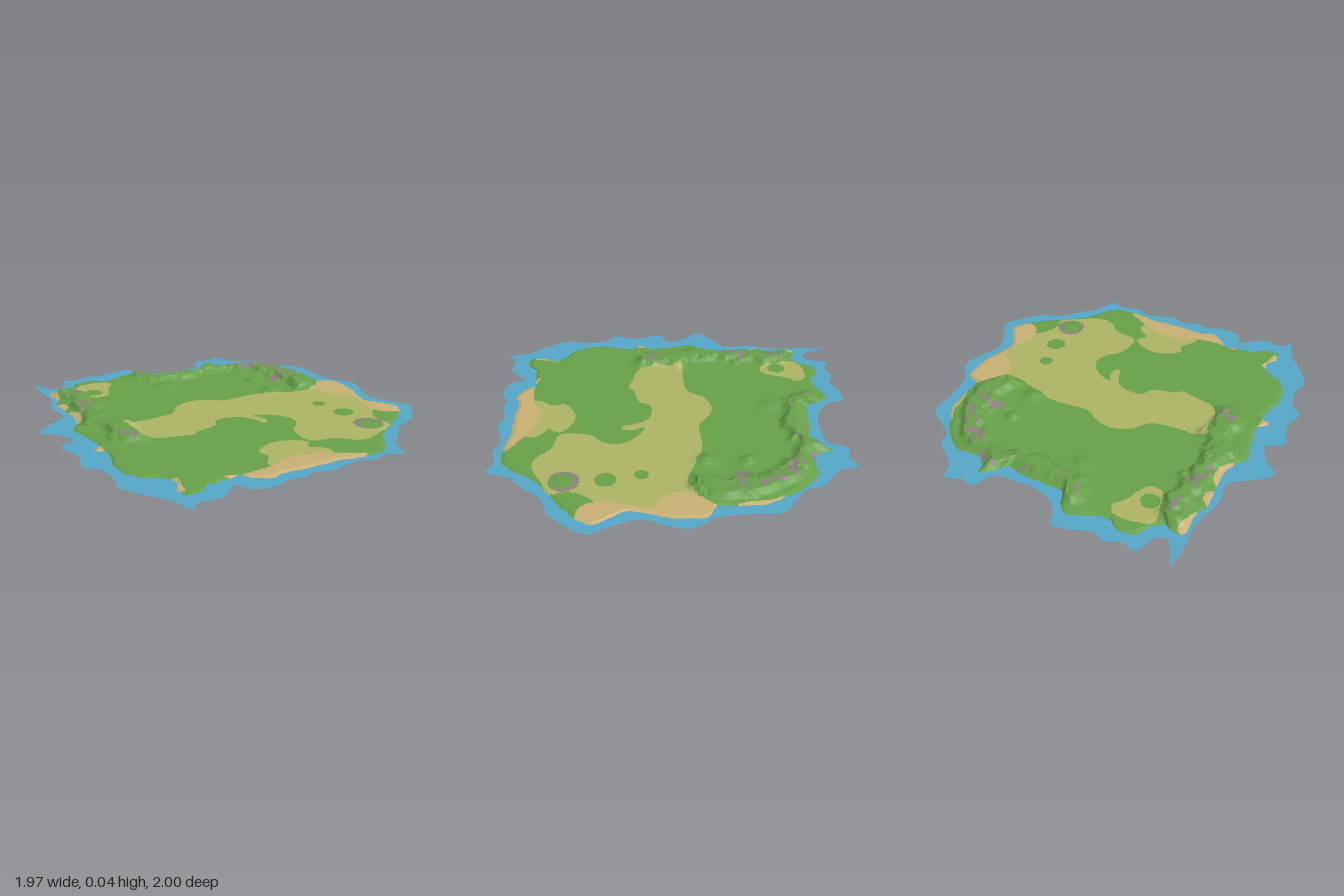
import * as THREE from 'three';

// Outlines are drawn on a survey map centred on (235, 225)
const SCALE = 0.0053, CX = 235, CZ = 225;
const toPoints = (list) => {
  const out = [];
  for (let i = 0; i < list.length; i += 2) out.push(new THREE.Vector2((list[i] - CX) * SCALE, (list[i + 1] - CZ) * SCALE));
  return out;
};
// Closed smooth curve through the points
const smooth = (list, n) => {
  const pts = toPoints(list).map((p) => new THREE.Vector3(p.x, 0, p.y));
  const curve = new THREE.CatmullRomCurve3(pts, true, 'centripetal');
  return curve.getPoints(n).slice(0, n).map((p) => new THREE.Vector2(p.x, p.z));
};

const SHORE = [92, 80, 103, 78, 110, 82, 120, 75, 128, 60, 145, 58, 160, 66, 178, 60, 195, 53, 205, 62, 212, 76, 230, 78,
  255, 78, 275, 82, 285, 70, 296, 62, 298, 73, 315, 82, 330, 80, 345, 88, 358, 102, 370, 120, 378, 135, 380, 150,
  383, 180, 396, 188, 398, 205, 397, 225, 390, 245, 390, 265, 397, 275, 407, 293, 400, 305, 387, 318, 365, 335,
  345, 350, 330, 372, 317, 385, 290, 387, 270, 384, 250, 385, 230, 386, 210, 384, 195, 389, 180, 380, 173, 371,
  155, 373, 138, 375, 130, 383, 115, 384, 111, 372, 118, 358, 110, 345, 95, 335, 85, 320, 82, 300, 87, 280, 88, 264,
  80, 260, 87, 245, 84, 220, 78, 200, 85, 188, 90, 170, 90, 150, 87, 125, 92, 105];
const WATER = [87, 42, 93, 56, 103, 68, 112, 64, 120, 42, 135, 46, 150, 40, 162, 45, 185, 37, 200, 36, 205, 48, 215, 60,
  235, 68, 260, 68, 280, 65, 290, 45, 305, 47, 320, 41, 326, 58, 340, 70, 352, 80, 357, 95, 370, 105, 390, 120,
  392, 150, 397, 180, 412, 203, 408, 225, 400, 245, 403, 262, 410, 275, 420, 295, 412, 310, 395, 330, 370, 342,
  358, 357, 340, 375, 330, 398, 315, 392, 300, 397, 280, 392, 265, 396, 250, 400, 235, 395, 220, 400, 205, 398,
  190, 404, 168, 400, 160, 386, 140, 402, 115, 402, 108, 412, 103, 400, 97, 385, 85, 370, 70, 345, 73, 325,
  68, 300, 57, 290, 62, 265, 55, 235, 70, 225, 62, 205, 48, 190, 65, 172, 82, 158, 80, 130, 87, 95, 85, 70];

// Ground cover outlines
const DRY = [
  [122, 212, 160, 208, 185, 203, 198, 186, 220, 178, 238, 184, 250, 192, 290, 190, 310, 195, 350, 206, 370, 195, 395, 220,
    388, 245, 384, 288, 375, 293, 366, 305, 362, 318, 366, 332, 345, 345, 325, 355, 310, 353, 295, 340, 270, 334, 267, 320,
    272, 300, 282, 290, 286, 275, 280, 262, 265, 251, 256, 249, 261, 260, 260, 270, 255, 272, 250, 258, 240, 245,
    215, 243, 208, 255, 185, 262, 178, 268, 165, 265, 140, 258, 130, 240],
  [205, 364, 215, 346, 212, 335, 235, 321, 255, 325, 266, 335, 260, 346, 272, 355, 273, 368, 240, 375, 210, 372],
  [120, 80, 135, 72, 158, 73, 163, 82, 155, 95, 150, 110, 143, 120, 130, 118, 124, 100],
];
const SAND = [
  [362, 207, 372, 190, 385, 178, 410, 190, 408, 230, 402, 260, 418, 292, 402, 306, 385, 304, 376, 286, 381, 262, 385, 246, 382, 235, 368, 228],
  [158, 368, 182, 371, 210, 367, 230, 358, 265, 365, 285, 376, 298, 384, 290, 394, 190, 396, 170, 380],
  [84, 78, 98, 80, 97, 95, 93, 108, 86, 108], [84, 122, 93, 124, 94, 138, 86, 142], [86, 150, 94, 152, 97, 172, 88, 186],
  [108, 352, 121, 352, 118, 366, 116, 378, 108, 376], [74, 252, 86, 250, 85, 266, 76, 268],
  [366, 116, 374, 118, 384, 150, 380, 160, 375, 148, 373, 130],
].map((l) => smooth(l, 60));
const DRY_AREAS = DRY.map((l) => smooth(l, 160));
// Round spots: x, z, radius
const spots = (list) => list.map(([x, z, r]) => [(x - CX) * SCALE, (z - CZ) * SCALE, r * SCALE]);
const GREEN_SPOTS = spots([[336, 249, 7], [344, 283, 10.5], [135, 102, 9.5], [313, 187, 10], [347, 324, 11]]);
const ROCK_SPOTS = spots([[340, 152, 6], [336, 156, 6], [347, 322, 15]]);
// Mounds: x, z, radius, height
const MOUNDS = [[313, 187, 16, 0.02], [313, 147, 11, 0.022], [215, 118, 15, 0.012], [347, 322, 17, 0.006], [340, 155, 12, 0.01]]
  .map(([x, z, r, h]) => [(x - CX) * SCALE, (z - CZ) * SCALE, r * SCALE, h]);
// Crest lines of the two hill chains
const RIDGES = [
  [203, 78, 215, 86, 238, 94, 265, 90, 290, 80, 315, 92, 334, 105, 346, 125, 355, 150, 360, 168, 350, 192],
  [107, 90, 112, 110, 110, 150, 104, 180, 113, 205, 122, 225, 118, 250],
].map(toPoints);

const inside = (x, z, poly) => {
  let hit = false;
  for (let i = 0, j = poly.length - 1; i < poly.length; j = i++) {
    const a = poly[i], b = poly[j];
    if ((a.y > z) !== (b.y > z) && x < ((b.x - a.x) * (z - a.y)) / (b.y - a.y) + a.x) hit = !hit;
  }
  return hit;
};
const inSpot = (x, z, list) => list.some(([a, b, r]) => Math.hypot(x - a, z - b) < r);

// Repeatable smooth value noise
const hash = (i, j) => {
  const s = Math.sin(i * 127.1 + j * 311.7) * 43758.5453;
  return s - Math.floor(s);
};
const noise = (x, z) => {
  const i = Math.floor(x), j = Math.floor(z);
  const u = THREE.MathUtils.smoothstep(x - i, 0, 1), v = THREE.MathUtils.smoothstep(z - j, 0, 1);
  const lerp = THREE.MathUtils.lerp;
  return lerp(lerp(hash(i, j), hash(i + 1, j), u), lerp(hash(i, j + 1), hash(i + 1, j + 1), u), v);
};
const ridgeNoise = (x, z) => 1 - Math.abs(2 * noise(x, z) - 1);

const ridgeDistance = (x, z) => {
  let best = 9;
  for (const line of RIDGES) {
    for (let i = 0; i + 1 < line.length; i++) {
      const a = line[i], b = line[i + 1], dx = b.x - a.x, dz = b.y - a.y;
      const t = THREE.MathUtils.clamp(((x - a.x) * dx + (z - a.y) * dz) / (dx * dx + dz * dz), 0, 1);
      best = Math.min(best, Math.hypot(x - a.x - t * dx, z - a.y - t * dz));
    }
  }
  return best;
};

// Ground height; t runs from 0 in the middle to 1 at the shore
const height = (x, z, t) => {
  const d = ridgeDistance(x, z) + 0.06 * (noise(x * 17, z * 17) - 0.5);
  const core = 1 - THREE.MathUtils.smoothstep(d, 0.015, 0.1);
  const crags = 0.55 * ridgeNoise(x * 16 + 5, z * 16) + 0.45 * ridgeNoise(x * 36, z * 36 + 9);
  let h = Math.min(0.031, 0.05 * core * (0.15 + crags));
  for (const [a, b, r, top] of MOUNDS) {
    const f = 1 - THREE.MathUtils.smoothstep(Math.hypot(x - a, z - b), 0, r);
    h = Math.max(h, top * f * (0.6 + 0.5 * ridgeNoise(x * 30, z * 30)));
  }
  return 0.007 * (1 - THREE.MathUtils.smoothstep(t, 0.975, 1)) + h * (1 - THREE.MathUtils.smoothstep(t, 0.91, 0.995));
};

// Cover index: 0 grass, 1 dry grass, 2 sand, 3 rock
const cover = (x, z) => {
  const d = ridgeDistance(x, z);
  if (d < 0.045 && noise(x * 9 + 3, z * 9) > 0.5 && noise(x * 34, z * 34) > 0.56) return 3;
  if (inSpot(x, z, GREEN_SPOTS)) return 0;
  if (inSpot(x, z, ROCK_SPOTS)) return z > 0.575 && x > 0.56 && x < 0.64 ? 0 : 3;
  if (SAND.some((p) => inside(x, z, p))) return 2;
  return d > 0.05 && DRY_AREAS.some((p) => inside(x, z, p)) ? 1 : 0;
};

// Land: rings of points shrinking from the shoreline to the middle
function landGeometry(shore, rings) {
  const n = shore.length, positions = [0, height(0, 0, 0), 0], faces = [[], [], [], []];
  for (let r = 1; r <= rings; r++) {
    const t = Math.pow(r / rings, 0.8);
    for (const p of shore) positions.push(p.x * t, height(p.x * t, p.y * t, t), p.y * t);
  }
  const addFace = (a, b, c) => {
    const mid = (k) => (positions[a * 3 + k] + positions[b * 3 + k] + positions[c * 3 + k]) / 3;
    faces[cover(mid(0), mid(2))].push(a, b, c);
  };
  const id = (r, i) => 1 + (r - 1) * n + (i % n);
  for (let i = 0; i < n; i++) {
    addFace(0, id(1, i + 1), id(1, i));
    for (let r = 1; r < rings; r++) {
      addFace(id(r, i), id(r, i + 1), id(r + 1, i));
      addFace(id(r, i + 1), id(r + 1, i + 1), id(r + 1, i));
    }
  }
  const geometry = new THREE.BufferGeometry();
  geometry.setAttribute('position', new THREE.Float32BufferAttribute(positions, 3));
  geometry.setIndex(faces.flat());
  let start = 0;
  faces.forEach((list, k) => {
    geometry.addGroup(start, list.length, k);
    start += list.length;
  });
  geometry.computeVertexNormals();
  return geometry;
}

export function createModel() {
  const material = (name, color) => new THREE.MeshStandardMaterial({ name, color, side: THREE.DoubleSide });
  const ground = [material('grass', 0x66a048), material('dryGrass', 0xaeb465), material('sand', 0xc8b074), material('rock', 0x8c827c)];
  const model = new THREE.Group();
  model.name = 'island';

  // Shoreline with slight raggedness
  const shore = smooth(SHORE, 520).map((p) => p.multiplyScalar(1 + 0.016 * (noise(p.x * 40, p.y * 40) - 0.5)));
  const land = new THREE.Mesh(landGeometry(shore, 110), ground);
  land.name = 'land';

  // Flat shallow water around the land
  const shape = new THREE.Shape(smooth(WATER, 400));
  shape.holes.push(new THREE.Path(shore));
  const water = new THREE.Mesh(new THREE.ShapeGeometry(shape).scale(1, -1, 1).rotateX(-Math.PI / 2), material('water', 0x55a7c8));
  // Mirroring flips the winding, so turn each face back upward
  const index = water.geometry.index.array;
  for (let i = 0; i < index.length; i += 3) [index[i], index[i + 1]] = [index[i + 1], index[i]];
  water.geometry.computeVertexNormals();
  water.name = 'shallowWater';

  model.add(land, water);
  return model;
}
